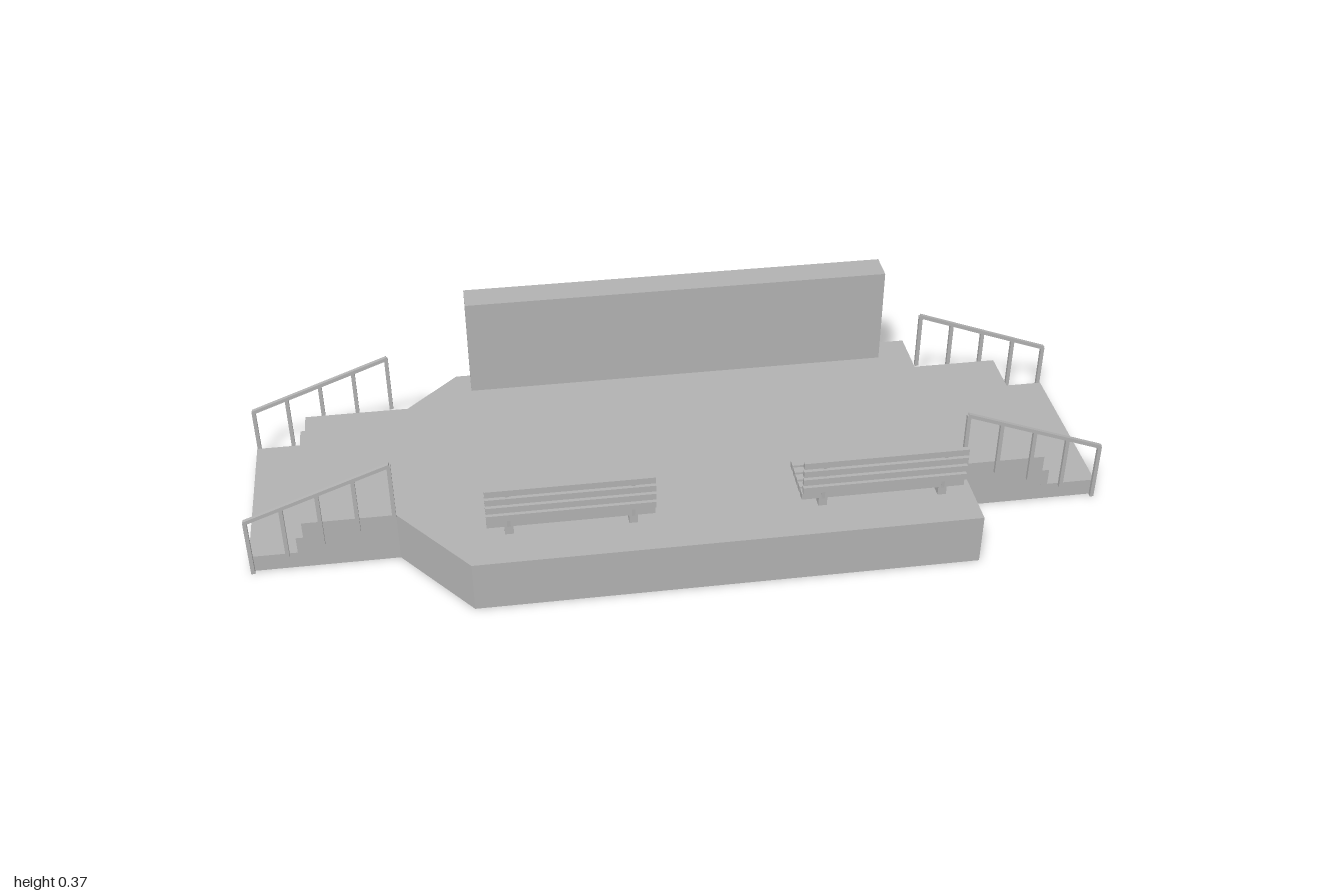
import * as THREE from 'three';

const grey = new THREE.MeshStandardMaterial({ color: 0xb2b2b2 });
grey.name = 'concrete grey';

const H = 0.125; // deck height

// Box given by its minimum and maximum corners
function block(name, x0, x1, y0, y1, z0, z1) {
  const mesh = new THREE.Mesh(new THREE.BoxGeometry(x1 - x0, y1 - y0, z1 - z0), grey);
  mesh.position.set((x0 + x1) / 2, (y0 + y1) / 2, (z0 + z1) / 2);
  mesh.name = name;
  return mesh;
}

// Square bar between two points in an x-y or y-z plane
function bar(name, a, b, size) {
  const from = new THREE.Vector3(...a), to = new THREE.Vector3(...b);
  const dir = to.clone().sub(from);
  const mesh = new THREE.Mesh(new THREE.BoxGeometry(size, dir.length(), size), grey);
  mesh.position.copy(from).add(to).multiplyScalar(0.5);
  mesh.quaternion.setFromUnitVectors(new THREE.Vector3(0, 1, 0), dir.normalize());
  mesh.name = name;
  return mesh;
}

// Deck outline with a tapered right end, including the two top landings
function makeDeck() {
  const outline = [
    [-0.873, 0.17], [-0.66, 0.17], [-0.5, 0.373], [0.658, 0.373], [0.658, 0.17], [0.865, 0.17],
    [0.865, -0.247], [0.658, -0.247], [0.658, -0.371], [-0.5, -0.371], [-0.625, -0.247], [-0.873, -0.247],
  ];
  const shape = new THREE.Shape(outline.map(([x, z]) => new THREE.Vector2(x, -z)));
  const geo = new THREE.ExtrudeGeometry(shape, { depth: H, bevelEnabled: false });
  geo.rotateX(-Math.PI / 2);
  const mesh = new THREE.Mesh(geo, grey);
  mesh.name = 'deck';
  return mesh;
}

// Sloping handrail with five posts
function makeRailing(side, z) {
  const g = new THREE.Group();
  g.name = 'railing';
  const s = 0.009;
  for (let i = 0; i < 5; i++) {
    const t = i / 4;
    const x = side * (0.995 - 0.331 * t);
    const base = i === 0 ? 0 : 0.01 + 0.115 * t;
    g.add(block('railPost', x - s / 2, x + s / 2, base, 0.148 + 0.124 * t, z - s / 2, z + s / 2));
  }
  g.add(bar('handrail', [side * 0.997, 0.147, z], [side * 0.662, 0.272, z], s));
  return g;
}

// Slatted bench facing the wall
function makeBench(cx) {
  const g = new THREE.Group();
  g.name = 'bench';
  const w = 0.19;
  for (let i = 0; i < 5; i++) {
    const z = 0.158 + i * 0.0268;
    g.add(block('seatSlat', -w, w, 0.147, 0.163, z - 0.01, z + 0.01));
  }
  for (let i = 0; i < 4; i++) {
    const y = 0.181 + i * 0.0228;
    g.add(block('backSlat', -w, w, y - 0.008, y + 0.008, 0.277, 0.288));
  }
  for (const x of [-0.14, 0.14]) {
    g.add(block('seatFrame', x - 0.01, x + 0.01, 0.141, 0.151, 0.149, 0.275));
    g.add(block('leg', x - 0.01, x + 0.01, H, 0.141, 0.165, 0.275));
    g.add(bar('backSupport', [x, 0.145, 0.271], [x, 0.25, 0.279], 0.008));
  }
  g.position.x = cx;
  return g;
}

export function createModel() {
  const model = new THREE.Group();
  model.name = 'terrace';
  model.add(makeDeck());
  model.add(block('backWall', -0.465, 0.577, H, 0.374, -0.375, -0.302));

  // Lower steps at both ends
  model.add(block('lowerStep', -1, -0.873, 0, 0.042, -0.247, 0.17));
  model.add(block('middleStep', -0.89, -0.873, 0.042, 0.084, -0.247, 0.17));
  model.add(block('lowerStep', 0.865, 1, 0, 0.042, -0.247, 0.17));
  model.add(block('middleStep', 0.865, 0.882, 0.042, 0.084, -0.247, 0.17));

  for (const side of [-1, 1]) {
    for (const z of [0.177, -0.255]) model.add(makeRailing(side, z));
  }
  for (const x of [-0.27, 0.445]) model.add(makeBench(x));
  return model;
}
